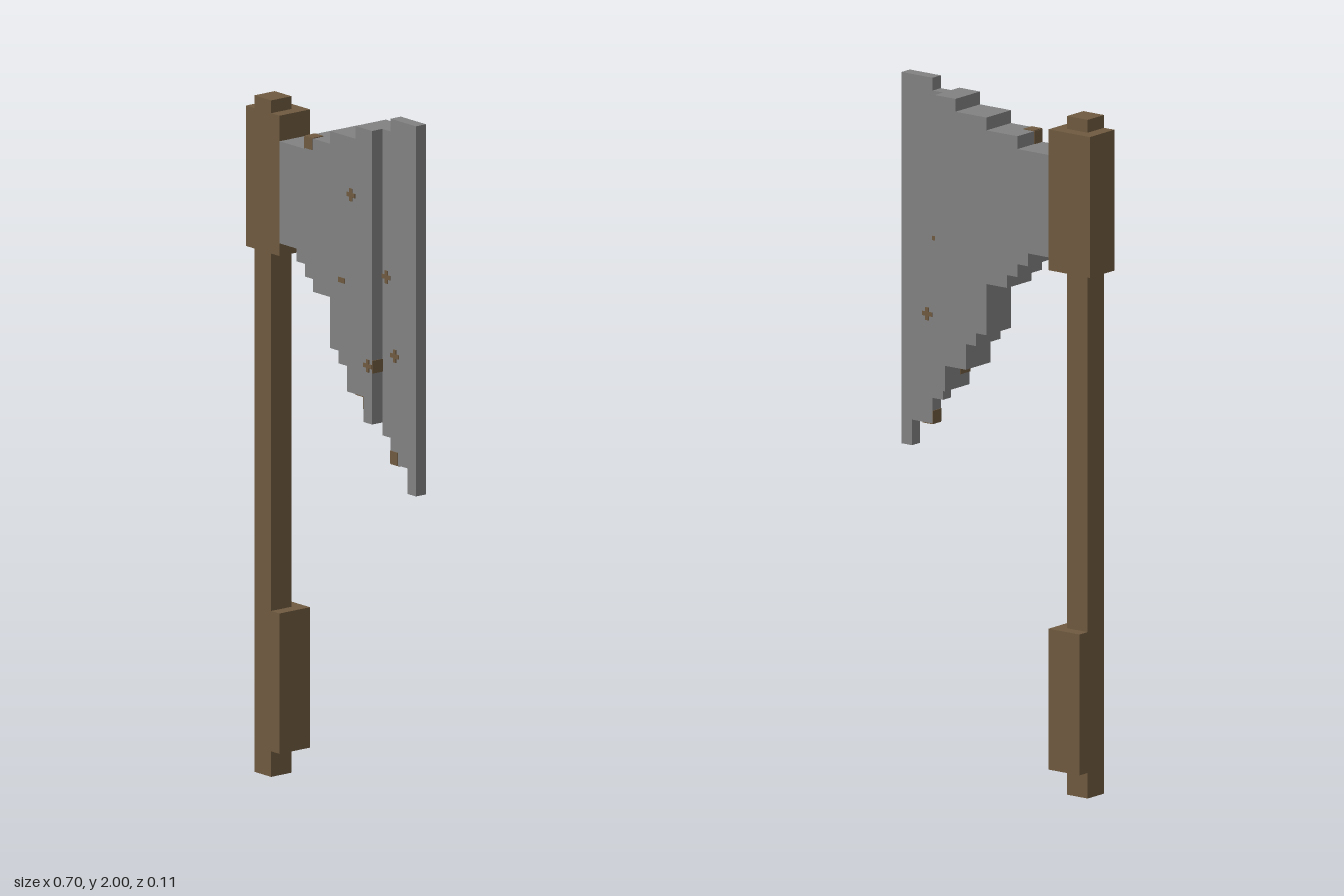
import * as THREE from 'three';

const U = 2 / 54;             // block size
const X0 = -9.5, Z0 = -1.5;   // block grid origin

const wood = new THREE.MeshStandardMaterial({ color: 0x6f5a40 });
wood.name = 'brown wood';
const metal = new THREE.MeshStandardMaterial({ color: 0x828282 });
metal.name = 'grey metal';

// Box spanning block coordinates from..to
function block(name, material, from, to) {
  const size = to.map((v, i) => (v - from[i]) * U);
  const mesh = new THREE.Mesh(new THREE.BoxGeometry(...size), material);
  mesh.position.set(
    ((from[0] + to[0]) / 2 + X0) * U,
    ((from[1] + to[1]) / 2) * U,
    ((from[2] + to[2]) / 2 + Z0) * U
  );
  mesh.name = name;
  return mesh;
}

// Stepped plate; each step list holds [start column, height]
function steppedPlate(name, end, top, bottom, z0, z1) {
  const edge = (steps) => steps.flatMap(([x, y], i) => {
    const next = i + 1 < steps.length ? steps[i + 1][0] : end;
    return [[x, y], [next, y]];
  });
  const outline = [...edge(bottom), ...edge(top).reverse()];
  const shape = new THREE.Shape(outline.map(([x, y]) => new THREE.Vector2((x + X0) * U, y * U)));
  const geometry = new THREE.ExtrudeGeometry(shape, { depth: (z1 - z0) * U, bevelEnabled: false });
  geometry.translate(0, 0, (z0 + Z0) * U);
  const mesh = new THREE.Mesh(geometry, metal);
  mesh.name = name;
  return mesh;
}

export function createModel() {
  const model = new THREE.Group();
  model.name = 'axe';

  // Shaft, grip and head socket
  model.add(
    block('shaft', wood, [1, 0, 1], [3, 41, 3]),
    block('grip', wood, [1, 2, 0], [4, 13, 3]),
    block('headSocket', wood, [0, 41, 0], [4, 52, 3]),
    block('socketCap', wood, [1, 52, 1], [3, 53, 3])
  );

  // Thick blade body and thin cutting edge
  model.add(
    steppedPlate('bladeBody', 15,
      [[4, 50], [7, 51], [10, 52], [13, 53]],
      [[4, 42], [6, 41], [7, 40], [8, 39], [10, 35], [11, 34], [12, 32], [14, 30]], 0, 3),
    steppedPlate('cuttingEdge', 19,
      [[15, 53], [16, 54]],
      [[15, 29], [16, 27], [18, 25]], 1, 2)
  );

  // Plus-shaped rust flecks
  const t = 0.06, c = 1 / 3;
  const fleck = (x, y, z0, z1) => {
    const group = new THREE.Group();
    group.name = 'rustFleck';
    group.add(
      block('fleckBar', wood, [x, y + c, z0], [x + 1, y + 2 * c, z1]),
      block('fleckTop', wood, [x + c, y + 2 * c, z0], [x + 2 * c, y + 1, z1]),
      block('fleckBottom', wood, [x + c, y, z0], [x + 2 * c, y + c, z1])
    );
    model.add(group);
  };
  fleck(12, 47, 3, 3 + t);
  fleck(14, 34, 3, 3 + t);
  for (const [x, y] of [[15, 41], [16, 35]]) {
    fleck(x, y, 2, 2 + t);
    fleck(x, y, 1 - t, 1);
  }

  // Rust patches on faces and edges
  model.add(
    block('smallRust', wood, [11, 40.4, 3], [11.8, 40.8, 3 + t]),
    block('topRustFront', wood, [7, 50.1, 3], [7.9, 51, 3 + t]),
    block('topRust', wood, [7, 51, 2], [8, 51 + t, 3]),
    block('topRustSide', wood, [7 - t, 50, 2], [7, 51, 3]),
    block('stepRust', wood, [15, 34, 2], [15 + t, 35, 3]),
    block('lowerRustSide', wood, [14 - t, 31, 1.8], [14, 32, 3]),
    block('lowerRust', wood, [13, 32 - t, 1.8], [14, 32, 3]),
    block('tipRustFront', wood, [16, 27, 2], [16.9, 28, 2 + t]),
    block('tipRust', wood, [16, 27 - t, 1], [17, 27, 2]),
    block('tipRustSide', wood, [16 - t, 27, 1], [16, 28, 2])
  );

  model.position.z = -0.001;
  const root = new THREE.Group();
  root.add(model);
  return root;
}
